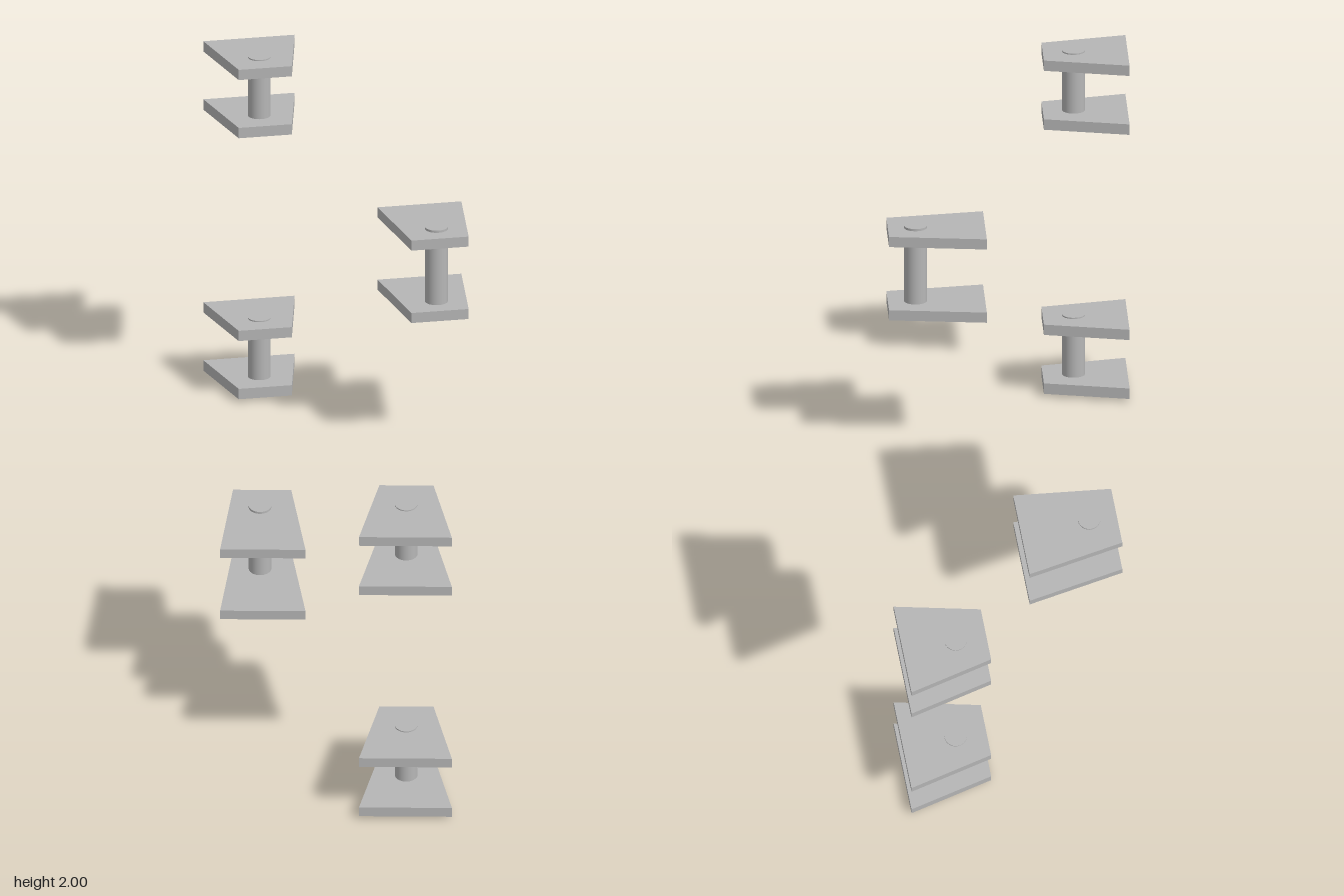
import * as THREE from 'three';

const grey = new THREE.MeshStandardMaterial({ color: 0xb6b6b6 });
grey.name = 'plain grey';

// Trapezoid plate lying flat; outline is given as [x, z] corners
function plate(name, corners, y0, y1) {
  const shape = new THREE.Shape(corners.map(([x, z]) => new THREE.Vector2(x, -z)));
  const geometry = new THREE.ExtrudeGeometry(shape, { depth: y1 - y0, bevelEnabled: false });
  geometry.rotateX(-Math.PI / 2);
  const mesh = new THREE.Mesh(geometry, grey);
  mesh.name = name;
  mesh.position.y = y0;
  return mesh;
}

// Two plates joined by an upright pin that pokes slightly through both
function bracket(name, y, { corners, pin, lower, upper, height }) {
  const group = new THREE.Group();
  group.name = name;
  group.position.y = y;
  group.add(plate('lowerPlate', corners, ...lower), plate('upperPlate', corners, ...upper));
  const rod = new THREE.Mesh(new THREE.CylinderGeometry(0.064, 0.064, height, 32), grey);
  rod.name = 'pin';
  rod.position.set(pin[0], height / 2, pin[1]);
  group.add(rod);
  return group;
}

const rearBracket = {
  corners: [[-0.546, -0.215], [-0.243, -0.215], [-0.134, -0.69], [-0.654, -0.69]],
  pin: [-0.395, -0.388],
  lower: [0.018, 0.08],
  upper: [0.367, 0.428],
  height: 0.435,
};

const frontBracket = {
  corners: [[0.26, 0.69], [0.586, 0.69], [0.652, 0.145], [0.174, 0.145]],
  pin: [0.433, 0.535],
  lower: [0.013, 0.073],
  upper: [0.447, 0.507],
  height: 0.52,
};

export function createModel() {
  const model = new THREE.Group();
  model.name = 'hingeBrackets';
  model.add(
    bracket('bottomBracket', 0, rearBracket),
    bracket('middleBracket', 0.745, frontBracket),
    bracket('topBracket', 1.565, rearBracket),
  );
  return model;
}
